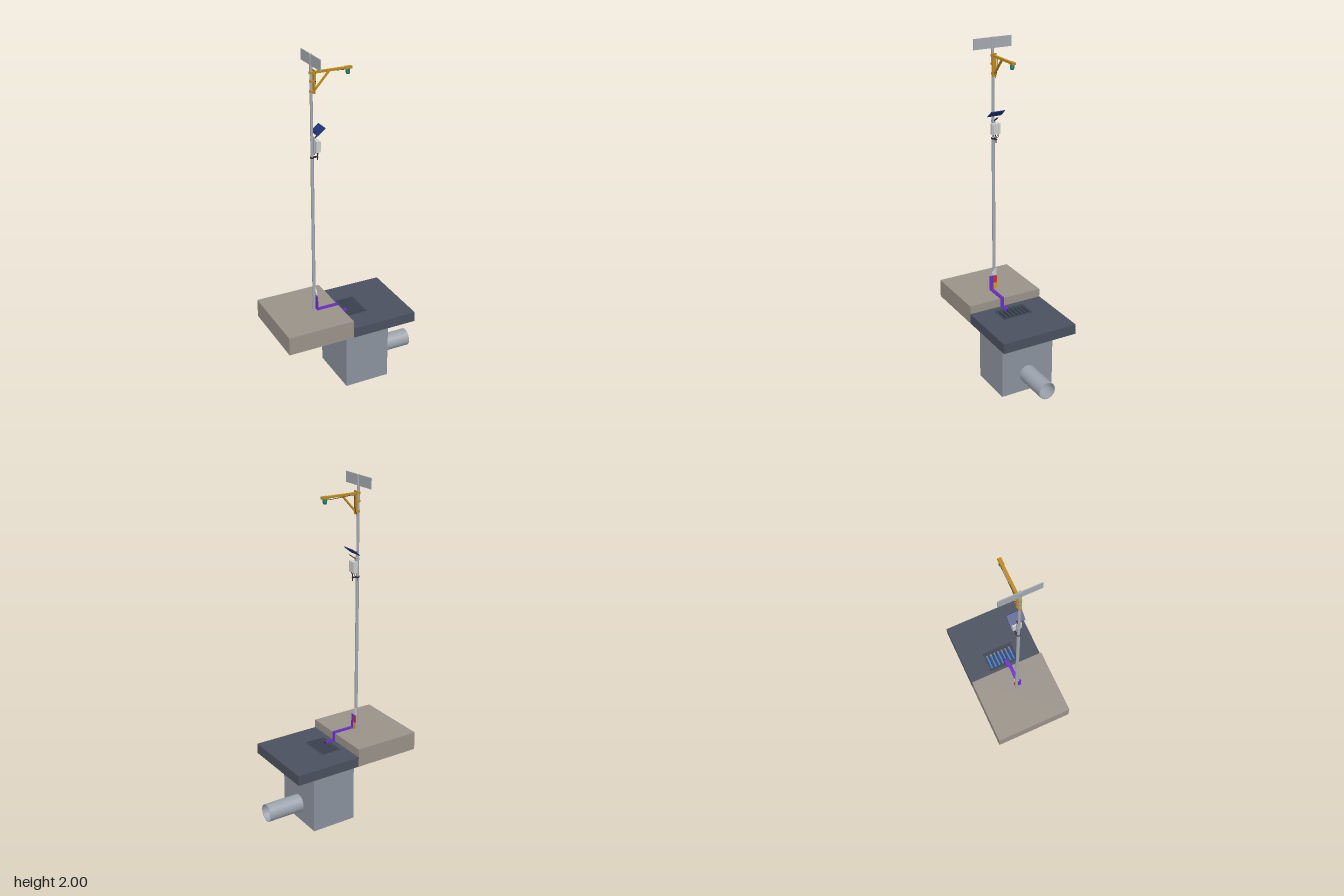
import * as THREE from 'three';

const mat = (color, side = THREE.FrontSide) => new THREE.MeshStandardMaterial({ color, side });
const M = {
  paving: mat(0x9a9289), road: mat(0x4a515e), concrete: mat(0x8b929e), pipe: mat(0x9aa2ac),
  grate: mat(0x3c4452), water: mat(0x3c7ae0), steel: mat(0xa4a9b0), gold: mat(0xc08a1e),
  teal: mat(0x1f7f78), navy: mat(0x1f3478), light: mat(0xd4d6d8), dark: mat(0x2a2c30),
  purple: mat(0x6a2fc8), red: mat(0xd02a3a), orange: mat(0xd8952a),
};
const POLE_X = -0.179;

export function createModel() {
  const root = new THREE.Group();
  const add = (name, geo, material, parent = root) => {
    const m = new THREE.Mesh(geo, material);
    m.name = name;
    parent.add(m);
    return m;
  };
  // Box given by its limits on each axis
  const box = (name, material, [x0, x1], [y0, y1], [z0, z1], parent = root) => {
    const m = add(name, new THREE.BoxGeometry(x1 - x0, y1 - y0, z1 - z0), material, parent);
    m.position.set((x0 + x1) / 2, (y0 + y1) / 2, (z0 + z1) / 2);
    return m;
  };
  // Square bar between two points in the plane z = const
  const bar = (name, material, [ax, ay], [bx, by], thick, width, z = 0, parent = root) => {
    const m = add(name, new THREE.BoxGeometry(Math.hypot(bx - ax, by - ay), thick, width), material, parent);
    m.position.set((ax + bx) / 2, (ay + by) / 2, z);
    m.rotation.z = Math.atan2(by - ay, bx - ax);
    return m;
  };
  const cyl = (name, material, r0, r1, y0, y1, x, z = 0, seg = 24, parent = root) => {
    const m = add(name, new THREE.CylinderGeometry(r1, r0, y1 - y0, seg), material, parent);
    m.position.set(x, (y0 + y1) / 2, z);
    return m;
  };
  const cable = (name, material, pts, r, parent = root) => add(name, new THREE.TubeGeometry(
    new THREE.CatmullRomCurve3(pts.map(p => new THREE.Vector3(...p))), 24, r, 6), material, parent);
  const rect = (x0, x1, y0, y1, Type = THREE.Shape) => new Type([
    new THREE.Vector2(x0, y0), new THREE.Vector2(x1, y0),
    new THREE.Vector2(x1, y1), new THREE.Vector2(x0, y1)]);
  const slab = (shape, depth) =>
    new THREE.ExtrudeGeometry(shape, { depth, bevelEnabled: false, curveSegments: 24 });

  // Sidewalk and road, the road pierced for the drain
  box('sidewalk', M.paving, [-0.441, -0.04], [0.375, 0.485], [-0.233, 0.233]);
  const roadShape = rect(-0.04, 0.362, -0.233, 0.233);
  roadShape.holes.push(rect(-0.008, 0.116, -0.094, 0.094, THREE.Path));
  add('road', slab(roadShape, 0.06).rotateX(-Math.PI / 2), M.road).position.y = 0.375;

  // Slotted drain grate
  const grateShape = rect(-0.0055, 0.1135, -0.0915, 0.0915);
  for (let i = -3; i <= 3; i++) {
    const z = i * 0.0249;
    grateShape.holes.push(rect(0.008, 0.1, z - 0.0063, z + 0.0063, THREE.Path));
  }
  add('drainGrate', slab(grateShape, 0.014).rotateX(-Math.PI / 2), M.grate).position.y = 0.42;

  // Hollow catch basin with water and an outlet pipe
  const basin = new THREE.Group();
  basin.name = 'catchBasin';
  root.add(basin);
  box('basinFloor', M.concrete, [-0.052, 0.222], [0, 0.02], [-0.167, 0.167], basin);
  box('basinBackWall', M.concrete, [-0.052, -0.032], [0.02, 0.375], [-0.167, 0.167], basin);
  for (const s of [-1, 1]) {
    box('basinSideWall', M.concrete, [-0.032, 0.202], [0.02, 0.375],
      s > 0 ? [0.147, 0.167] : [-0.167, -0.147], basin);
  }
  const wallShape = rect(-0.167, 0.167, 0.02, 0.375);
  wallShape.holes.push(new THREE.Path().absarc(0, 0.11, 0.048, 0, Math.PI * 2));
  add('basinOutletWall', slab(wallShape, 0.02).rotateY(Math.PI / 2), M.concrete, basin).position.x = 0.202;
  box('water', M.water, [-0.032, 0.202], [0.02, 0.045], [-0.147, 0.147], basin);
  const ring = new THREE.Shape().absarc(0, 0, 0.052, 0, Math.PI * 2);
  ring.holes.push(new THREE.Path().absarc(0, 0, 0.048, 0, Math.PI * 2));
  const pipe = add('outletPipe', slab(ring, 0.219).rotateY(Math.PI / 2), M.pipe);
  pipe.position.set(0.222, 0.11, 0);

  // Pole with the plate on top
  cyl('lowerPole', M.steel, 0.0095, 0.0095, 0.485, 1.42, POLE_X);
  cyl('upperPole', M.steel, 0.008, 0.008, 1.42, 2, POLE_X);
  box('topPlate', M.steel, [-0.182, -0.177], [1.94, 2], [-0.118, 0.118]);

  // Base covers on the road side of the pole
  box('orangeCover', M.orange, [-0.172, -0.166], [0.487, 0.53], [-0.011, 0.011]);
  box('redCover', M.red, [-0.172, -0.166], [0.53, 0.578], [-0.011, 0.011]);
  const hood = new THREE.Shape([[-0.011, 0.578], [0.018, 0.578], [0.018, 0.595], [0, 0.62], [-0.011, 0.62]]
    .map(([z, y]) => new THREE.Vector2(-z, y)));
  add('baseHood', slab(hood, 0.008).rotateY(Math.PI / 2), M.light).position.x = -0.175;

  // Ribbed cable duct stepping down the kerb to the drain
  const duct = new THREE.Group();
  duct.name = 'cableDuct';
  root.add(duct);
  const path = [[-0.172, 0.575], [-0.172, 0.488], [-0.037, 0.488], [-0.037, 0.438], [0.022, 0.438]];
  for (let i = 0; i < 4; i++) {
    bar('ductStrip', M.purple, path[i], path[i + 1], 0.006, 0.022, 0.0225, duct);
    for (const z of [0.0155, 0.0225, 0.0295]) {
      bar('ductRib', M.purple, path[i], path[i + 1], 0.009, 0.003, z, duct);
    }
  }
  box('ductProbe', M.dark, [0.022, 0.026], [0.434, 0.442], [0.017, 0.029], duct);

  // Bracket arm with braces, clamps and downward sensor
  const arm = new THREE.Group();
  arm.name = 'sensorArm';
  root.add(arm);
  bar('armBeam', M.gold, [-0.163, 1.9], [0.058, 1.9], 0.012, 0.014, 0, arm);
  box('armHeadPlate', M.gold, [0.018, 0.058], [1.893, 1.907], [-0.01, 0.01], arm);
  bar('armBrace', M.gold, [-0.16, 1.802], [-0.075, 1.896], 0.008, 0.012, 0, arm);
  box('armBackPlate', M.gold, [-0.166, -0.16], [1.785, 1.915], [-0.012, 0.012], arm);
  for (const y of [1.8, 1.855, 1.9]) {
    cyl('armClamp', M.gold, 0.011, 0.011, y - 0.006, y + 0.006, POLE_X, 0, 20, arm);
    box('armClampBlock', M.gold, [-0.176, -0.164], [y - 0.005, y + 0.005], [-0.01, 0.01], arm);
  }
  cyl('sensorBody', M.teal, 0.012, 0.012, 1.873, 1.893, 0.036, 0, 20, arm);
  cyl('sensorHorn', M.teal, 0.008, 0.012, 1.865, 1.873, 0.036, 0, 20, arm);
  cable('armCable', M.dark, [[0.03, 1.888, -0.008], [0.01, 1.888, -0.009], [-0.08, 1.892, -0.01],
    [-0.145, 1.89, -0.011], [-0.148, 1.83, -0.011], [-0.165, 1.78, -0.009]], 0.0016, arm);

  // Tilted solar panel on a strut
  bar('solarPanel', M.navy, [-0.165, 1.562], [-0.118, 1.6], 0.004, 0.086);
  bar('panelStrut', M.dark, [-0.172, 1.53], [-0.125, 1.562], 0.004, 0.008);
  bar('panelMount', M.dark, [-0.175, 1.572], [-0.155, 1.57], 0.004, 0.012);
  cyl('panelClamp', M.steel, 0.0105, 0.0105, 1.525, 1.537, POLE_X);

  // Control box
  box('controlBox', M.light, [-0.163, -0.139], [1.46, 1.522], [-0.025, 0.025]);
  box('controlBoxDoor', M.light, [-0.139, -0.136], [1.464, 1.518], [-0.022, 0.022]);
  box('controlBoxRail', M.steel, [-0.171, -0.163], [1.45, 1.545], [-0.008, 0.008]);
  for (const z of [-0.015, 0, 0.015]) cyl('cableGland', M.dark, 0.0025, 0.0025, 1.448, 1.46, -0.15, z, 10);

  // Small lower bracket with a probe
  cyl('lowerClamp', M.dark, 0.0115, 0.0115, 1.424, 1.432, POLE_X);
  bar('lowerBracket', M.dark, [-0.172, 1.428], [-0.145, 1.428], 0.004, 0.016);
  cyl('lowerProbe', M.dark, 0.003, 0.003, 1.41, 1.45, -0.147, 0, 10);
  cable('boxCable', M.dark, [[-0.15, 1.45, -0.015], [-0.152, 1.44, -0.016],
    [-0.168, 1.432, -0.012], [-0.17, 1.41, -0.01]], 0.0015);

  return root;
}
